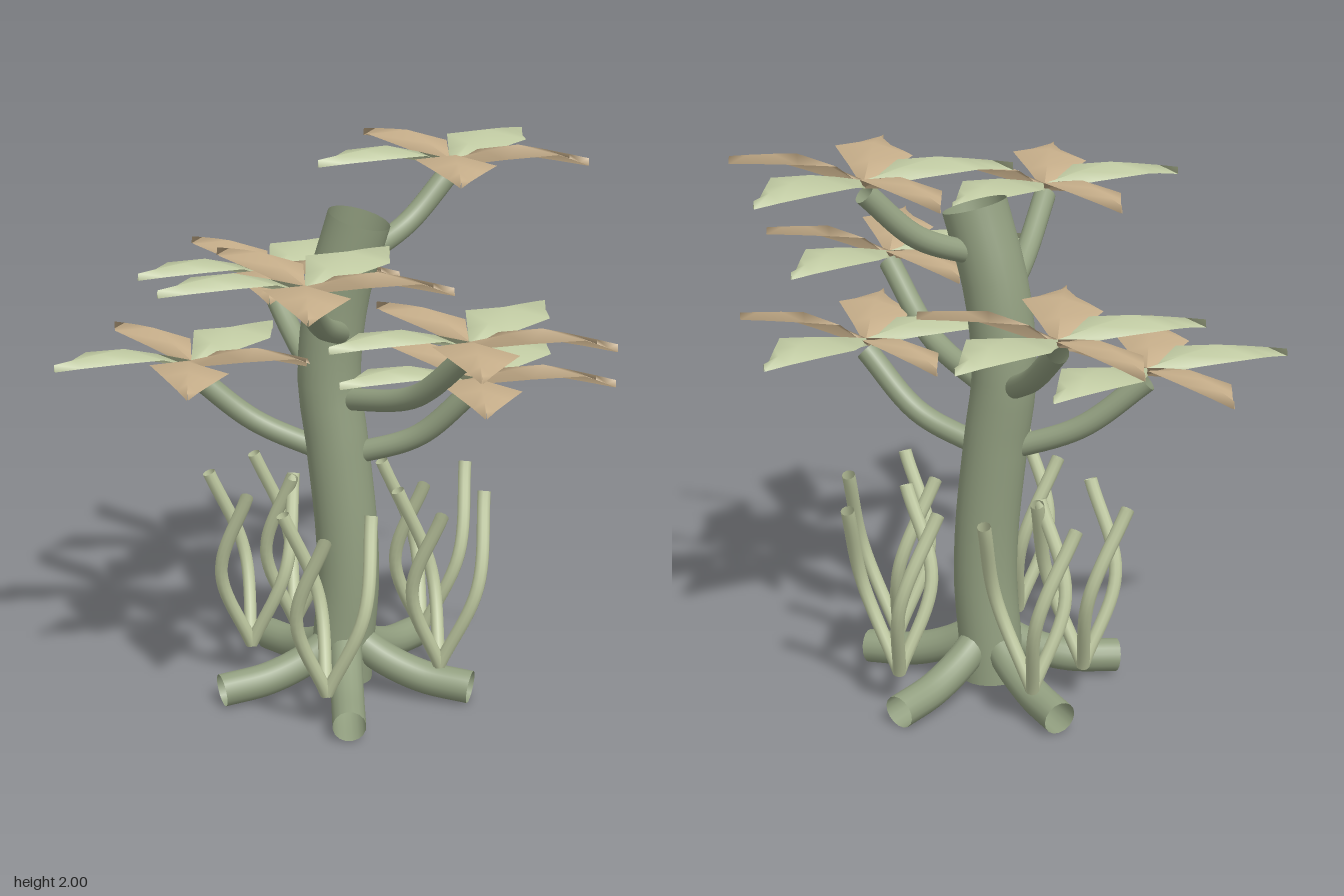
import * as THREE from 'three';

const paint = (name, color) => {
  const m = new THREE.MeshStandardMaterial({ color, side: THREE.DoubleSide });
  m.name = name;
  return m;
};

// Open smooth tube through a few points
function tube(name, points, radius, material, sides = 16) {
  const curve = new THREE.CatmullRomCurve3(points.map(p => new THREE.Vector3(...p)));
  const mesh = new THREE.Mesh(new THREE.TubeGeometry(curve, 20, radius, sides, false), material);
  mesh.name = name;
  return mesh;
}

// Kite-shaped leaf: sections run outwards at an angle, all widened along x,
// with a ridge of constant height along the middle
function leafGeometry(angle) {
  const sections = [ // distance, half width, edge height
    [0, 0.004, -0.008], [0.125, 0.077, 0.028], [0.245, 0.15, 0.058],
    [0.335, 0.097, 0.048], [0.43, 0.04, 0.035], [0.5, 0.002, 0.024],
  ];
  const pos = [], index = [];
  sections.forEach(([d, w, h], i) => {
    const x = d * Math.cos(angle), z = -d * Math.sin(angle);
    for (const s of [-1, 0, 1]) {
      pos.push(x + s * w, h + (s === 0 ? 0.027 : 0), z + s * w * 0.07);
    }
    if (i === 0) return;
    for (const k of [0, 1]) {
      const a = (i - 1) * 3 + k, b = a + 3;
      index.push(a, a + 1, b, a + 1, b + 1, b);
    }
  });
  const g = new THREE.BufferGeometry();
  g.setAttribute('position', new THREE.Float32BufferAttribute(pos, 3));
  g.setIndex(index);
  g.computeVertexNormals();
  return g;
}

export function createModel() {
  const bark = paint('bark green', 0x929f80);
  const pale = paint('pale green', 0xc0caa2);
  const tan = paint('tan', 0xc5ad89);
  const model = new THREE.Group();
  model.name = 'tree';

  // Swaying trunk
  model.add(tube('trunk', [
    [-0.055, 0.05, -0.14], [-0.052, 0.14, -0.14], [-0.03, 0.4, -0.14], [-0.035, 0.62, -0.14],
    [-0.07, 0.95, -0.14], [-0.1, 1.2, -0.14], [-0.07, 1.5, -0.14], [0.01, 1.785, -0.14],
  ], 0.113, bark, 24));

  // Five roots spread evenly
  for (let i = 0; i < 5; i++) {
    const a = i * Math.PI * 0.4;
    const at = (r, y) => [-0.038 + r * Math.cos(a), y, -0.13 + r * Math.sin(a)];
    model.add(tube('root', [at(0.05, 0.2), at(0.16, 0.135), at(0.3, 0.085), at(0.475, 0.064)], 0.06, bark));
  }

  // Branches: start, middle, crown
  const branches = [
    [[-0.1, 0.915, -0.14], [-0.37, 1.025, -0.1], [-0.585, 1.23, -0.04]],
    [[-0.02, 0.915, -0.14], [0.23, 1.01, -0.135], [0.435, 1.23, -0.12]],
    [[-0.04, 1.125, -0.12], [0.27, 1.22, 0.07], [0.495, 1.455, 0.21]],
    [[-0.13, 1.15, -0.16], [-0.3, 1.275, -0.36], [-0.44, 1.455, -0.505]],
    [[-0.045, 1.375, -0.1], [-0.02, 1.49, 0.22], [0.01, 1.685, 0.5]],
    [[-0.02, 1.62, -0.17], [0.12, 1.72, -0.37], [0.245, 1.915, -0.505]],
  ];
  const leaves = [0, 1, 2, 3, 4].map(i => leafGeometry(i * Math.PI * 0.4));
  for (const [start, mid, top] of branches) {
    const end = [top[0], top[1] - 0.025, top[2]];
    model.add(tube('branch', [start, mid, end], 0.04, bark));
    // Crown of alternating leaves
    const crown = new THREE.Group();
    crown.name = 'crown';
    crown.position.set(...top);
    leaves.forEach((g, i) => {
      const leaf = new THREE.Mesh(g, i % 2 ? pale : tan);
      leaf.name = 'leaf';
      crown.add(leaf);
    });
    model.add(crown);
  }

  // Clumps of three curling shoots
  const clumps = [[0, 0.235], [-0.4, -0.13], [-0.31, -0.385], [0.175, -0.435], [0.32, -0.13]];
  for (const [x, z] of clumps) {
    const clump = new THREE.Group();
    clump.name = 'shootClump';
    clump.position.set(x, 0, z);
    for (let i = 0; i < 3; i++) {
      const at = (r, deg, y) => {
        const a = THREE.MathUtils.degToRad(deg + i * 120 - 165);
        return [r * Math.cos(a), y, r * Math.sin(a)];
      };
      clump.add(tube('shoot', [at(0, 0, 0.14), at(0.14, 47, 0.46), at(0.18, 0, 0.78)], 0.024, pale, 10));
    }
    model.add(clump);
  }
  return model;
}
